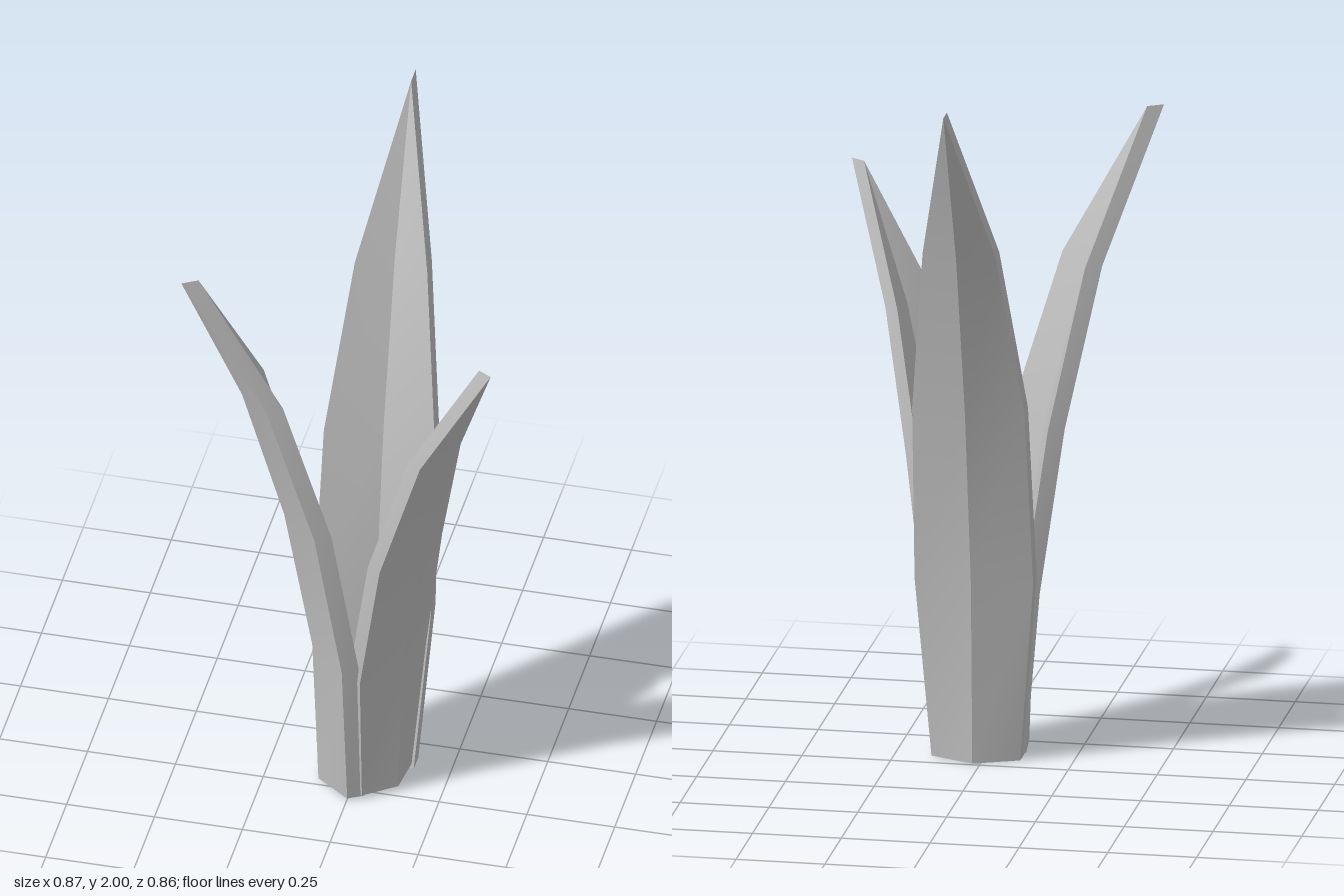
import * as THREE from 'three';

// Cross-sections of one folded leaf, from base to tip
const SECTIONS = [
  { y: 0.0, keel: 0.153, half: 0.125, rise: 0.055 },
  { y: 0.52, keel: 0.173, half: 0.167, rise: 0.045 },
  { y: 1.04, keel: 0.263, half: 0.158, rise: 0.05 },
  { y: 1.53, keel: 0.398, half: 0.103, rise: 0.045 },
  { y: 2.0, keel: 0.593, half: 0.0, rise: 0.0 },
];
const THICKNESS = 0.055;

// Six corners of a section: outer edge, keel, edge, then inner edge, keel, edge
function ring({ y, keel, half, rise }) {
  const edge = keel - rise;
  return [
    [half, y, -edge], [0, y, -keel], [-half, y, -edge],
    [-half, y, THICKNESS - edge], [0, y, THICKNESS - keel], [half, y, THICKNESS - edge],
  ];
}

function leafGeometry() {
  const rings = SECTIONS.map(ring);
  const positions = [];
  const index = [];

  // Each long face is its own strip: smooth along its length, sharp at the folds
  for (let k = 0; k < 6; k++) {
    const start = positions.length / 3;
    for (const r of rings) positions.push(...r[k], ...r[(k + 1) % 6]);
    for (let i = 0; i < rings.length - 1; i++) {
      const a = start + i * 2;
      index.push(a, a + 1, a + 3, a, a + 3, a + 2);
    }
  }

  // Base cap
  const cap = positions.length / 3;
  positions.push(...rings[0].flat());
  for (const [a, b, c, d] of [[0, 5, 4, 1], [1, 4, 3, 2]]) {
    index.push(cap + a, cap + b, cap + c, cap + a, cap + c, cap + d);
  }

  const geometry = new THREE.BufferGeometry();
  geometry.setAttribute('position', new THREE.Float32BufferAttribute(positions, 3));
  geometry.setIndex(index);
  geometry.computeVertexNormals();
  return geometry;
}

export function createModel() {
  const model = new THREE.Group();
  model.name = 'leafCluster';

  const leafGrey = new THREE.MeshStandardMaterial({ color: 0xc0c0c0 });
  leafGrey.name = 'leaf grey';

  // Three leaves around a shared centre, each a little smaller than the last
  const geometry = leafGeometry();
  const leaves = [
    { name: 'backLeaf', turn: 0, scale: 1, lift: 0 },
    { name: 'rightLeaf', turn: 1, scale: 0.9, lift: 0.008 },
    { name: 'leftLeaf', turn: 2, scale: 0.8, lift: 0.014 },
  ];
  for (const { name, turn, scale, lift } of leaves) {
    const leaf = new THREE.Mesh(geometry, leafGrey);
    leaf.name = name;
    leaf.rotation.y = turn * Math.PI * 2 / 3;
    leaf.scale.setScalar(scale);
    leaf.position.set(0.022, lift, 0.163);
    model.add(leaf);
  }
  return model;
}
